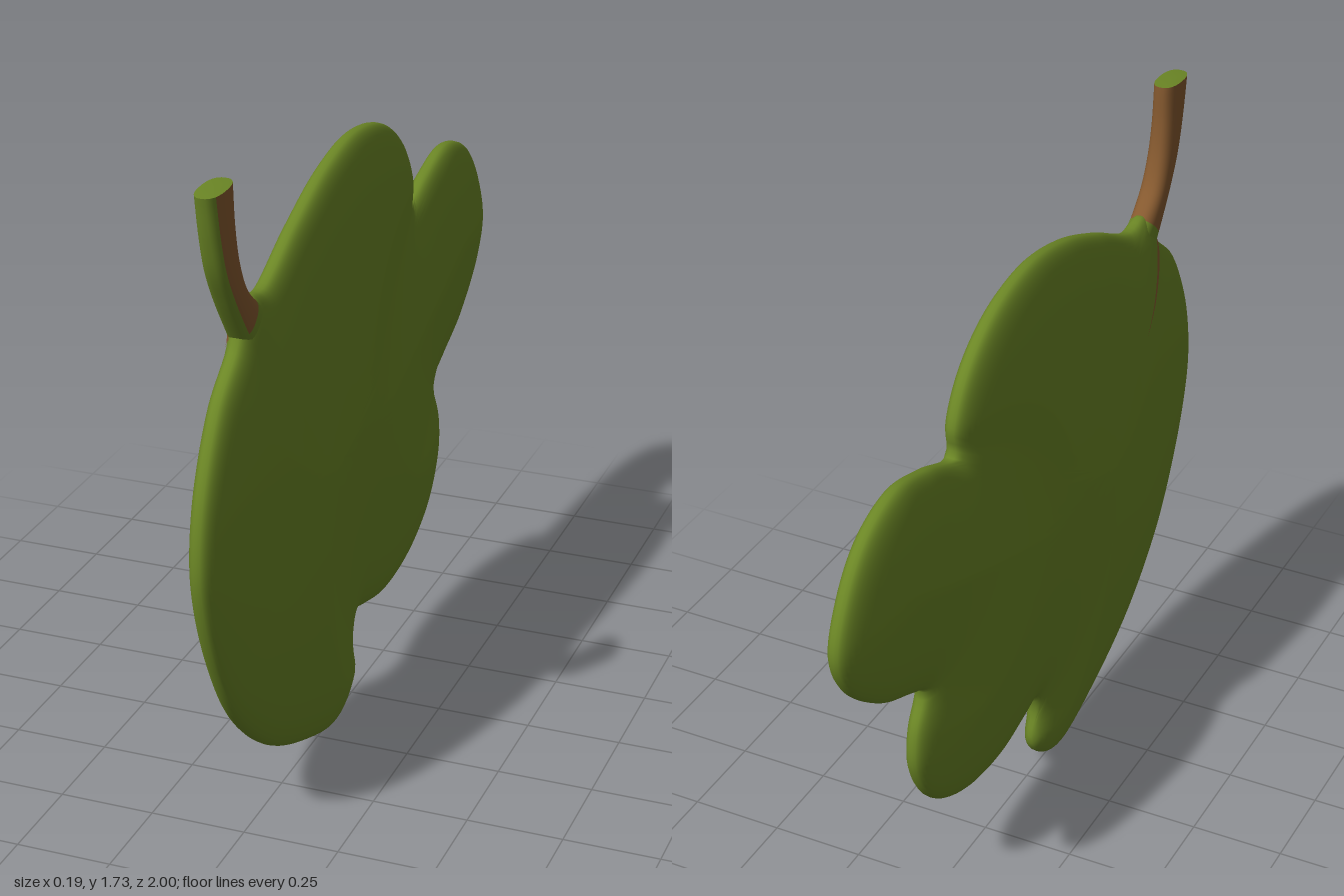
import * as THREE from 'three';

const green = new THREE.MeshStandardMaterial({ color: 0x6b8625 });
green.name = 'leafGreen';
const brown = new THREE.MeshStandardMaterial({ color: 0x85592f });
brown.name = 'stemBrown';

// Leaf outline as [z, y], running from behind the stem over the lobes
const OUTLINE = [
  [0.6, 1.4], [0.4, 1.49], [0.2, 1.565], [0, 1.595], [-0.2, 1.555], [-0.34, 1.46], [-0.41, 1.34],
  [-0.405, 1.265], [-0.55, 1.31], [-0.7, 1.34], [-0.85, 1.29], [-0.95, 1.18], [-1, 1.04], [-0.95, 0.92],
  [-0.8, 0.79], [-0.65, 0.72], [-0.59, 0.685], [-0.635, 0.58], [-0.64, 0.47], [-0.56, 0.33], [-0.4, 0.24],
  [-0.2, 0.215], [-0.05, 0.245], [0.02, 0.26], [0.04, 0.2], [0.02, 0.1], [0.08, 0.03], [0.17, 0.002],
  [0.35, 0.05], [0.6, 0.17], [0.8, 0.35], [0.92, 0.55], [0.985, 0.73], [1, 0.85], [0.97, 1.02],
  [0.87, 1.21], [0.76, 1.31], [0.735, 1.36], [0.69, 1.41],
];
const toCurve = (pts, closed) =>
  new THREE.CatmullRomCurve3(pts.map(([z, y]) => new THREE.Vector3(0, y, z)), closed, 'centripetal');
const rim = toCurve(OUTLINE, true).getSpacedPoints(260).slice(0, -1);

// Half thickness of the leaf: rises steeply from the outline, then gently to the middle
function halfThickness(z, y) {
  let best = Infinity;
  for (let i = 0; i < rim.length; i++) {
    const a = rim[i], b = rim[(i + 1) % rim.length];
    const dz = b.z - a.z, dy = b.y - a.y;
    const t = THREE.MathUtils.clamp(((z - a.z) * dz + (y - a.y) * dy) / (dz * dz + dy * dy), 0, 1);
    best = Math.min(best, Math.hypot(z - a.z - t * dz, y - a.y - t * dy));
  }
  return 0.115 * best ** 0.38;
}

function makeGeometry(positions, index) {
  const g = new THREE.BufferGeometry();
  g.setAttribute('position', new THREE.Float32BufferAttribute(positions, 3));
  g.setIndex(index);
  g.computeVertexNormals();
  return g;
}

// Rings grow from the middle of the left face to the rim and shrink again on the right face
function leafGeometry() {
  const N = 30, M = rim.length, cz = 0.3, cy = 0.85;
  const pos = [], index = [];
  for (let k = 0; k <= 2 * N; k++) {
    const f = Math.sin((k / N) * Math.PI / 2);
    for (const p of rim) {
      const z = cz + (p.z - cz) * f, y = cy + (p.y - cy) * f;
      const x = k === N ? 0 : halfThickness(z, y) * Math.sign(N - k);
      pos.push(x, y, z);
    }
  }
  for (let k = 0; k < 2 * N; k++) {
    for (let i = 0; i < M; i++) {
      const j = (i + 1) % M;
      const a = k * M + i, b = k * M + j, c = a + M, d = b + M;
      if (k < 2 * N - 1) index.push(a, d, c);
      else index.push(a, b, c);
      if (k > 0 && k < 2 * N - 1) index.push(a, b, d);
    }
  }
  return makeGeometry(pos, index);
}

// Curved stem lofted between its front and back edges; green along the front and at the neck
function buildStem() {
  const front = toCurve([[0.735, 1.31], [0.755, 1.34], [0.82, 1.44], [0.87, 1.53], [0.9, 1.62], [0.925, 1.73]]);
  const back = toCurve([[0.64, 1.385], [0.685, 1.415], [0.735, 1.465], [0.768, 1.54], [0.785, 1.63], [0.79, 1.735]]);
  const N = 30, M = 36, pos = [], greenIdx = [], brownIdx = [];
  const bulge = (v) => Math.sign(v) * Math.abs(v) ** 0.8;
  for (let k = 0; k <= N; k++) {
    const t = k / N, f = front.getPoint(t), b = back.getPoint(t);
    const mid = f.clone().add(b).multiplyScalar(0.5), half = f.clone().sub(mid);
    const rx = 0.037 - 0.004 * t;
    for (let j = 0; j < M; j++) {
      const a = (j / M) * Math.PI * 2, c = bulge(Math.cos(a));
      pos.push(rx * bulge(Math.sin(a)), mid.y + half.y * c, mid.z + half.z * c);
    }
  }
  for (let k = 0; k < N; k++) {
    for (let j = 0; j < M; j++) {
      const n = (j + 1) % M, a = k * M + j, b = k * M + n;
      const isFront = j < 5 || j >= M - 5;
      (k < 4 || isFront ? greenIdx : brownIdx).push(a, b, b + M, a, b + M, a + M);
    }
  }
  const geo = makeGeometry(pos, [...greenIdx, ...brownIdx]);
  geo.addGroup(0, greenIdx.length, 0);
  geo.addGroup(greenIdx.length, brownIdx.length, 1);
  const stem = new THREE.Mesh(geo, [green, brown]);
  stem.name = 'stem';

  // Flat cut end
  const tipPos = pos.slice(-M * 3), tipIdx = [];
  tipPos.push(0, 1.737, 0.857);
  for (let j = 0; j < M; j++) tipIdx.push(M, j, (j + 1) % M);
  const tip = new THREE.Mesh(makeGeometry(tipPos, tipIdx), green);
  tip.name = 'stemTip';
  return [stem, tip];
}

// Thin tapering brown streak below the stem on the right face
function buildStreak() {
  const path = toCurve([[0.735, 1.33], [0.7, 1.25], [0.65, 1.17], [0.58, 1.1]]);
  const N = 16, pos = [], index = [];
  for (let k = 0; k <= N; k++) {
    const p = path.getPoint(k / N), w = 0.012 * (1 - k / N);
    for (const s of [-1, 1]) {
      const z = p.z + s * w, y = p.y - s * w * 0.5;
      pos.push(-halfThickness(z, y) - 0.003, y, z);
    }
    if (k < N) index.push(2 * k, 2 * k + 2, 2 * k + 1, 2 * k + 1, 2 * k + 2, 2 * k + 3);
  }
  const streak = new THREE.Mesh(makeGeometry(pos, index), brown);
  streak.name = 'stemStreak';
  return streak;
}

export function createModel() {
  const group = new THREE.Group();
  group.name = 'lobedLeaf';
  const blade = new THREE.Mesh(leafGeometry(), green);
  blade.name = 'leafBlade';
  group.add(blade, ...buildStem(), buildStreak());
  return group;
}
